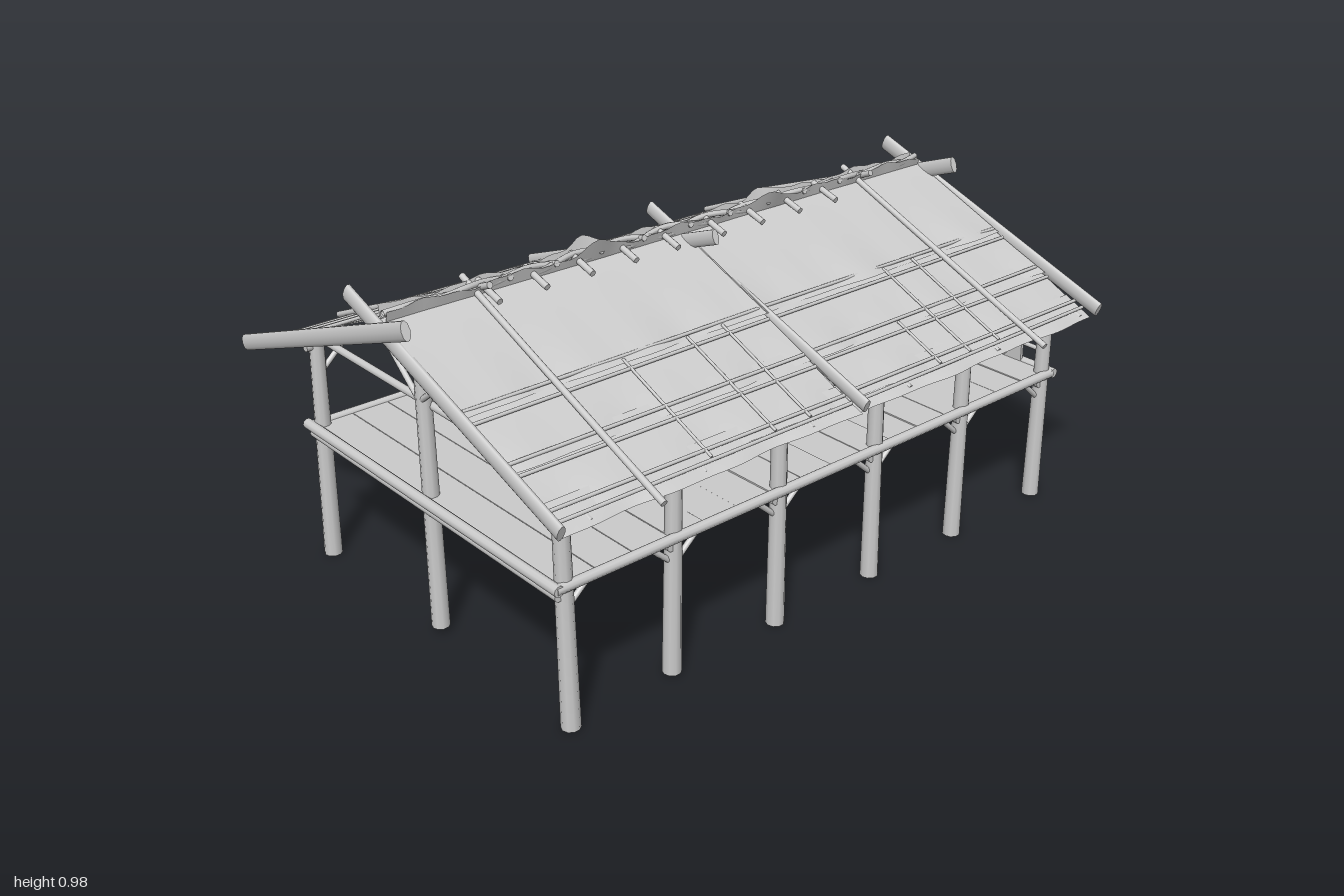
import * as THREE from 'three';

const mat = new THREE.MeshStandardMaterial({ color: 0xcccccc, side: THREE.DoubleSide });
const UP = new THREE.Vector3(0, 1, 0);
const FRAMES = [0.855, 0.51, 0.155, -0.205, -0.565, -0.93];
const SIDES = [-1, 1];
const SIDE_X = 0.545, RIDGE_X = -0.012;

// Height of the thatch at distance u from the ridge
const roofY = (u) => 0.925 - 0.43 * u;

let seed = 7;
const rand = (a, b) => {
  seed = (seed * 16807) % 2147483647;
  return a + (b - a) * (seed / 2147483647);
};

// Rough pole from a to b; flat < 1 thins it along z
function pole(parent, name, a, b, r1, r2 = r1, flat = 1) {
  const A = new THREE.Vector3(...a), B = new THREE.Vector3(...b);
  const dir = B.clone().sub(A);
  const mesh = new THREE.Mesh(new THREE.CylinderGeometry(r2, r1, dir.length(), 10), mat);
  mesh.position.copy(A).add(B).multiplyScalar(0.5);
  mesh.quaternion.setFromUnitVectors(UP, dir.normalize());
  mesh.scale.z = flat;
  mesh.name = name;
  parent.add(mesh);
  return mesh;
}

function box(parent, name, size, pos) {
  const mesh = new THREE.Mesh(new THREE.BoxGeometry(...size), mat);
  mesh.position.set(...pos);
  mesh.name = name;
  parent.add(mesh);
  return mesh;
}

// Sheet shaped by fn(s, t) -> [x, y, z], with s and t from 0 to 1
function sheet(parent, name, ns, nt, fn) {
  const geo = new THREE.PlaneGeometry(1, 1, ns, nt), p = geo.attributes.position;
  for (let i = 0; i < p.count; i++) p.setXYZ(i, ...fn(p.getX(i) + 0.5, p.getY(i) + 0.5));
  geo.computeVertexNormals();
  const mesh = new THREE.Mesh(geo, mat);
  mesh.name = name;
  parent.add(mesh);
}

function addGroup(parent, name) {
  const g = new THREE.Group();
  g.name = name;
  parent.add(g);
  return g;
}

function buildFrame(root) {
  const g = addGroup(root, 'postFrame');
  FRAMES.forEach((z, i) => {
    // Posts
    for (const s of SIDES) {
      const lean = rand(-0.008, 0.008);
      pole(g, 'sidePost', [s * SIDE_X + lean, i % 2 ? 0.005 : 0, z - lean], [s * SIDE_X, 0.66, z], 0.026, 0.021);
    }
    pole(g, 'middlePost', [-0.005, 0.02, z], [RIDGE_X, 0.9, z], 0.025, 0.02);

    // Cross beams, rafters and roof braces
    pole(g, 'floorBeam', [-0.57, 0.385, z + 0.02], [0.56, 0.385, z + 0.02], 0.014);
    pole(g, 'tieBeam', [-0.56, 0.668, z - 0.015], [0.56, 0.663, z - 0.015], 0.011);
    for (const s of SIDES) {
      pole(g, 'rafter', [RIDGE_X, 0.895, z], [s * 0.66, roofY(0.66) - 0.02, z], 0.011);
      pole(g, 'rafterBrace', [RIDGE_X, 0.68, z + 0.01], [s * 0.175, 0.82, z + 0.01], 0.008);
    }

    // Lengthwise knee braces
    for (const d of SIDES) {
      if ((i === 0 && d > 0) || (i === 5 && d < 0)) continue;
      for (const s of SIDES) {
        pole(g, 'floorBrace', [s * SIDE_X, 0.325, z], [s * SIDE_X, 0.4, z + d * 0.085], 0.008);
        pole(g, 'eaveBrace', [s * SIDE_X, 0.565, z], [s * SIDE_X, 0.645, z + d * 0.085], 0.008);
      }
      pole(g, 'ridgeBrace', [RIDGE_X, 0.72, z], [RIDGE_X, 0.88, z + d * 0.16], 0.008);
    }
  });

  // Long beams
  for (const s of SIDES) {
    pole(g, 'sideBeam', [s * 0.565, 0.41, -0.95], [s * 0.565, 0.41, 0.89], 0.014);
    pole(g, 'eavePlate', [s * SIDE_X, 0.655, -0.95], [s * SIDE_X, 0.655, 0.89], 0.013);
  }
  pole(g, 'middleBeam', [0.02, 0.38, -0.94], [0.02, 0.38, 0.88], 0.012);
  pole(g, 'ridgeBeam', [RIDGE_X, 0.892, -0.96], [RIDGE_X, 0.892, 0.96], 0.014);
  for (const z of [0.885, -0.955]) pole(g, 'endBeam', [-0.585, 0.41, z], [0.575, 0.41, z], 0.015);
}

function buildFloor(root) {
  const g = addGroup(root, 'floor');
  const n = 16, w = 1.82 / n;
  for (let i = 0; i < n; i++) {
    const z = -0.945 + w * (i + 0.5);
    box(g, 'floorPlank', [1.11, 0.012, w - 0.002], [0, 0.407 + rand(-0.002, 0.002), z]);
  }
}

// Patchy plank fences at the back and on the right side
function buildFences(root) {
  const back = addGroup(root, 'backFence');
  const backX = [0.035, 0.07, 0.105, 0.195, 0.23, 0.27, 0.305, 0.345, 0.375, 0.41, 0.435];
  const backTop = [0.59, 0.585, 0.575, 0.56, 0.6, 0.625, 0.59, 0.56, 0.585, 0.595, 0.575];
  backX.forEach((x, i) => {
    const low = i < 3 ? 0.44 : 0.415;
    const p = box(back, 'fencePlank', [0.028, backTop[i] - low, 0.01], [x + 0.01, (backTop[i] + low) / 2, -0.945]);
    p.rotation.z = rand(-0.03, 0.03);
  });
  pole(back, 'fenceRail', [0, 0.49, -0.933], [0.53, 0.48, -0.933], 0.007);

  const side = addGroup(root, 'sideFence');
  [-0.27, -0.3, -0.335, -0.425, -0.46, -0.5].forEach((z, i) => {
    const top = 0.575 + 0.012 * ((i * 2) % 3);
    const p = box(side, 'fencePlank', [0.01, top - 0.415, 0.03], [-0.55, (top + 0.415) / 2, z - 0.015]);
    p.rotation.x = rand(-0.04, 0.04);
  });
  pole(side, 'fenceRail', [-0.538, 0.51, -0.2], [-0.538, 0.505, -0.565], 0.007);
}

function buildRoof(root) {
  const g = addGroup(root, 'roof');
  // Overlapping thatch layers, [upper u, lower u, lift]
  const layers = [[0, 0.34, 0.008], [0.29, 0.51, 0.002], [0.46, 0.65, -0.002], [0.6, 0.69, -0.006]];
  for (const s of SIDES) {
    for (const half of SIDES) {
      layers.forEach(([u0, u1, lift], k) => {
        const ph = k * 1.9 + s + half * 0.7;
        sheet(g, 'thatchLayer', 48, 6, (a, b) => {
          const z = half * (0.002 + 0.955 * a);
          const wave = Math.sin(z * 13 + ph) + 0.6 * Math.sin(z * 29 + ph * 2);
          const u = u0 + (u1 - u0) * b + b * wave * 0.007;
          const y = roofY(u) + lift * (0.3 + 0.7 * b) + b * b * wave * 0.005;
          return [RIDGE_X + s * u, y, z];
        });
      });
    }

    // Long battens holding the layers down
    for (const u of [0.32, 0.36, 0.49, 0.53, 0.635, 0.665]) {
      for (const half of SIDES) {
        const j = rand(-0.006, 0.006);
        pole(g, 'batten', [RIDGE_X + s * (u + j), roofY(u + j) + 0.008, 0.01 * half],
          [RIDGE_X + s * (u - j), roofY(u - j) + 0.008, half * 0.95], 0.005);
      }
    }

    // Short cross laths
    for (const z of [-0.58, -0.46, -0.34, 0.15, 0.27, 0.48]) {
      const u0 = z === -0.34 ? 0.5 : 0.33;
      pole(g, 'crossLath', [RIDGE_X + s * u0, roofY(u0) + 0.01, z], [RIDGE_X + s * 0.66, roofY(0.66) + 0.01, z], 0.004);
    }

    // Thin poles across the slope
    for (const z of [-0.69, 0.68]) {
      const u = z < 0 ? (s < 0 ? 0.68 : 0.74) : 0.73;
      pole(g, 'crossPole', [RIDGE_X - s * 0.05, 0.955, z + s * 0.008],
        [RIDGE_X + s * u, roofY(u) + 0.02, z + s * 0.008], 0.009);
    }

    // Heavy poles crossing at the ridge, at both ends and the middle
    for (const [z, r] of [[0.968, 0.026], [0, 0.022], [-0.968, 0.025]]) {
      pole(g, 'ridgeCrossPole', [RIDGE_X - s * 0.15, 0.95, z - s * 0.011],
        [RIDGE_X + s * 0.7, 0.642, z - s * 0.011], r, r * 0.9, 0.48);
    }
  }
}

function buildRidge(root) {
  const g = addGroup(root, 'ridgeCap');
  // Twisted bundles along the top
  for (const k of [0, 1]) {
    const pts = [];
    for (let i = 0; i <= 40; i++) {
      const z = -0.95 + i * 0.0475;
      pts.push(new THREE.Vector3(RIDGE_X + 0.01 * Math.sin(i * 1.1 + k * 3), 0.938 + 0.008 * Math.cos(i * 0.9 + k * 3), z));
    }
    const rope = new THREE.Mesh(new THREE.TubeGeometry(new THREE.CatmullRomCurve3(pts), 120, 0.009, 6), mat);
    rope.name = 'ridgeBundle';
    g.add(rope);
  }

  // Ragged crest with two raised tufts
  for (const s of SIDES) {
    sheet(g, 'ridgeCrest', 90, 2, (a, b) => {
      const z = -0.95 + 1.9 * a;
      const tuft = Math.exp(-(((z - 0.31) / 0.05) ** 2)) + Math.exp(-(((z + 0.32) / 0.05) ** 2));
      const top = 0.95 + 0.028 * tuft + 0.006 * Math.sin(z * 23 + s) + 0.003 * Math.sin(z * 61);
      return [RIDGE_X + s * (0.012 + b * (0.008 + 0.015 * tuft)), 0.915 + (top - 0.915) * b, z];
    });
  }

  // Pegs through the ridge
  for (let i = 0; i < 18; i++) {
    const z = -0.6 + i * 0.073 + (i > 8 ? 0.02 : 0), s = i % 2 ? 1 : -1;
    pole(g, 'ridgePeg', [RIDGE_X - s * 0.02, 0.945, z], [RIDGE_X + s * 0.075, 0.915, z], 0.009, 0.009);
  }
}

export function createModel() {
  const model = new THREE.Group();
  model.name = 'stiltLonghouse';
  const house = addGroup(model, 'house');
  buildFrame(house);
  buildFloor(house);
  buildFences(house);
  buildRoof(house);
  buildRidge(house);
  house.rotation.y = -0.028;
  return model;
}
